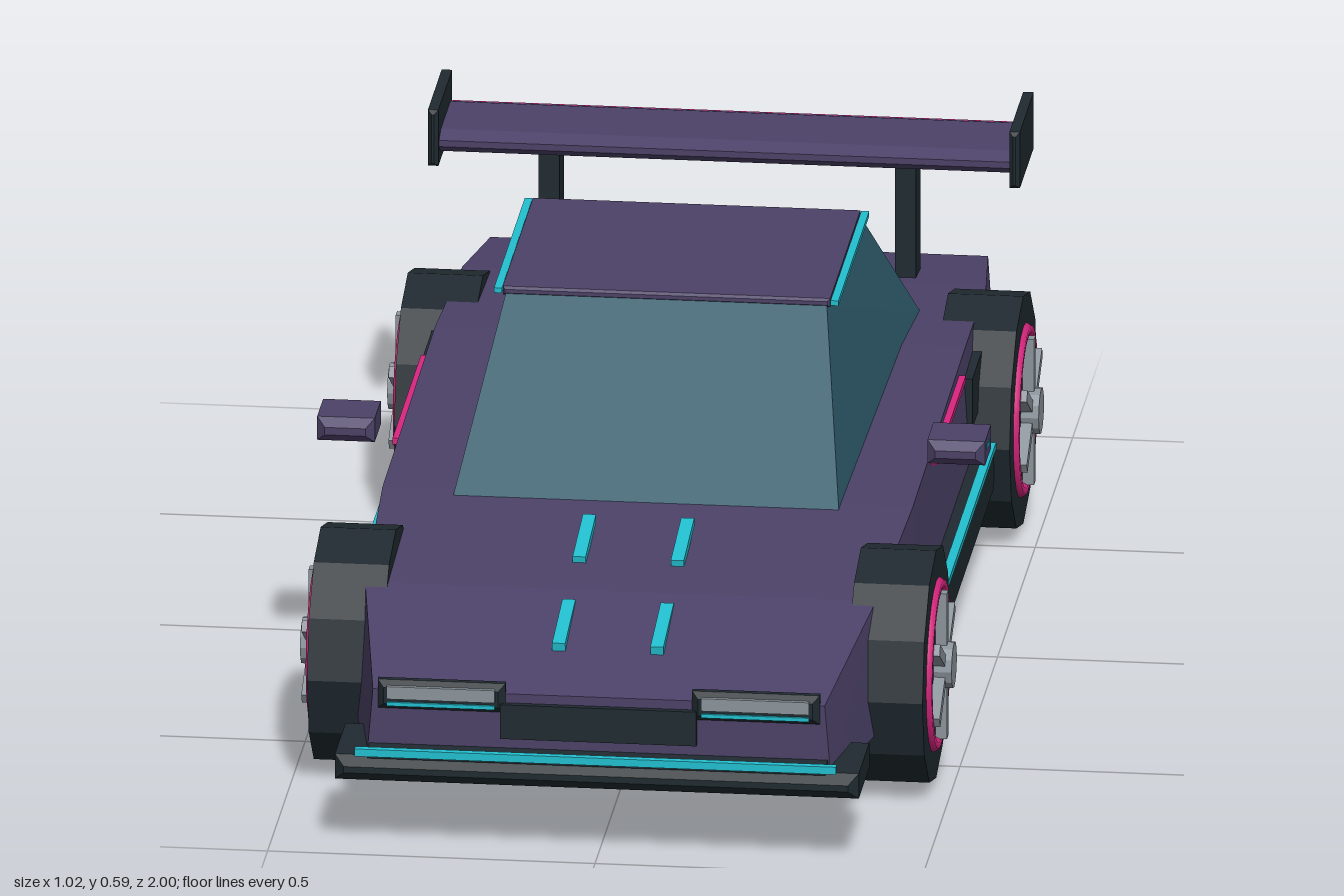
import * as THREE from 'three';

const paint = (name, color) => Object.assign(new THREE.MeshStandardMaterial({ color }), { name });

// Flat-faced loft through rings of corners; the first ring is counter-clockwise seen from outside
function loft(rings) {
  const pos = [];
  const quad = (a, b, c, d) => pos.push(...a, ...b, ...c, ...a, ...c, ...d);
  for (let r = 0; r + 1 < rings.length; r++) {
    const a = rings[r], b = rings[r + 1];
    for (let i = 0; i < 4; i++) {
      const j = (i + 1) % 4;
      quad(a[i], b[i], b[j], a[j]);
    }
  }
  const last = rings[rings.length - 1];
  quad(...rings[0]);
  quad(last[3], last[2], last[1], last[0]);
  const g = new THREE.BufferGeometry();
  g.setAttribute('position', new THREE.Float32BufferAttribute(pos, 3));
  g.computeVertexNormals();
  return g;
}

// Box with cut edges
function cutBox(w, h, d, b) {
  const x = w / 2 - b, y = h / 2 - b;
  const s = new THREE.Shape([[-x, -y], [x, -y], [x, y], [-x, y]].map(p => new THREE.Vector2(...p)));
  return new THREE.ExtrudeGeometry(s, {
    depth: d - 2 * b, bevelEnabled: true, bevelSize: b, bevelThickness: b, bevelSegments: 1,
  }).translate(0, 0, b - d / 2);
}

// Faceted cylinder lying along x
function drum(r, length, sides) {
  const g = new THREE.CylinderGeometry(r, r, length, sides).rotateZ(-Math.PI / 2).toNonIndexed();
  g.computeVertexNormals();
  return g;
}

export function createModel() {
  const purple = paint('body purple', 0x4c4268);
  const dark = paint('dark trim', 0x1f2a30);
  const glass = paint('tinted glass', 0x2f5b6c);
  const cyan = paint('cyan glow', 0x22c0d0);
  const pink = paint('pink glow', 0xd8267f);
  const grey = paint('wheel grey', 0x8b949c);

  const car = new THREE.Group();
  car.name = 'sportsCar';
  const add = (name, geo, mat, x = 0, y = 0, z = 0, parent = car) => {
    const m = new THREE.Mesh(geo, mat);
    m.name = name;
    m.position.set(x, y, z);
    parent.add(m);
    return m;
  };
  const box = (name, mat, w, h, d, x, y, z, parent) =>
    add(name, new THREE.BoxGeometry(w, h, d), mat, x, y, z, parent);

  // Wedge body: z, half width at top, half width at bottom, top, bottom
  add('body', loft([
    [0.95, 0.345, 0.355, 0.25, 0.13],
    [0.66, 0.39, 0.405, 0.318, 0.12],
    [0.3, 0.405, 0.42, 0.343, 0.12],
    [-0.4, 0.405, 0.42, 0.354, 0.12],
    [-0.72, 0.40, 0.41, 0.338, 0.12],
    [-0.92, 0.38, 0.39, 0.316, 0.165],
  ].map(([z, t, b, y1, y0]) => [[-b, y0, z], [b, y0, z], [t, y1, z], [-t, y1, z]])), purple);

  // Glass cabin and roof
  add('cabin', loft([
    [0.574, 0.245, 0.05, 0.25, -0.355],
    [0.338, 0.295, 0.325, 0.316, -0.59],
  ].map(([y, f, zf, r, zr]) => [[-f, y, zf], [f, y, zf], [r, y, zr], [-r, y, zr]])), glass);
  add('roof', cutBox(0.5, 0.014, 0.41, 0.004), purple, 0, 0.577, -0.153);

  // Nose
  add('splitter', cutBox(0.8, 0.04, 0.17, 0.015), dark, 0, 0.132, 0.905);
  box('splitterGlow', cyan, 0.735, 0.012, 0.012, 0, 0.163, 0.992);
  box('splitterGlowMount', dark, 0.7, 0.012, 0.05, 0, 0.157, 0.962);
  box('grille', dark, 0.3, 0.055, 0.02, 0, 0.208, 0.95);

  // Engine cover louvres
  for (const [z, y] of [[-0.605, 0.358], [-0.655, 0.359], [-0.705, 0.36]]) {
    const slat = box('louvre', dark, 0.51, 0.01, 0.022, 0, y, z);
    slat.rotation.x = 0.2;
  }

  // Tail
  box('tailLight', pink, 0.67, 0.014, 0.012, 0, 0.285, -0.924);
  add('diffuser', cutBox(0.72, 0.065, 0.14, 0.012), dark, 0, 0.148, -0.893);
  for (let i = -2; i <= 2; i++) box('diffuserFin', dark, 0.012, 0.08, 0.14, i * 0.125, 0.137, -0.93);

  // Rear wing
  const foil = new THREE.Shape([
    [-0.085, -0.012], [-0.065, -0.018], [0.07, -0.016], [0.085, -0.004],
    [0.085, 0.006], [0.06, 0.016], [-0.065, 0.016], [-0.085, 0.01],
  ].map(p => new THREE.Vector2(...p)));
  const blade = new THREE.ExtrudeGeometry(foil, { depth: 0.88, bevelEnabled: false });
  blade.translate(0, 0, -0.44).rotateY(-Math.PI / 2);
  add('wingBlade', blade, purple, 0, 0.532, -0.81);
  box('wingGlow', pink, 0.87, 0.012, 0.01, 0, 0.535, -0.896);

  for (const s of [-1, 1]) {
    box('wingStrut', dark, 0.032, 0.2, 0.06, s * 0.272, 0.42, -0.79);
    add('wingEndPlate', cutBox(0.016, 0.09, 0.195, 0.006), dark, s * 0.444, 0.545, -0.808);

    // Headlights
    add('headlightBezel', cutBox(0.195, 0.046, 0.03, 0.01), dark, s * 0.24, 0.243, 0.945);
    box('headlightLens', grey, 0.165, 0.02, 0.008, s * 0.24, 0.249, 0.96);
    box('headlightGlow', cyan, 0.165, 0.006, 0.008, s * 0.24, 0.231, 0.96);

    // Bonnet strips, roof rails and side lines
    const front = box('bonnetStrip', cyan, 0.02, 0.014, 0.14, s * 0.075, 0.296, 0.76);
    front.rotation.x = 0.16;
    const rear = box('bonnetStrip', cyan, 0.02, 0.014, 0.14, s * 0.075, 0.338, 0.488);
    rear.rotation.x = 0.14;
    box('roofRail', cyan, 0.012, 0.008, 0.41, s * 0.257, 0.578, -0.153);
    box('shoulderLine', pink, 0.012, 0.01, 0.38, s * 0.41, 0.335, -0.12);

    // Sills and intakes
    add('sill', cutBox(0.06, 0.066, 0.84, 0.012), dark, s * 0.415, 0.15, -0.025);
    box('sillGlow', cyan, 0.014, 0.01, 0.86, s * 0.442, 0.188, -0.01);
    box('sideIntake', dark, 0.03, 0.08, 0.14, s * 0.405, 0.276, -0.432);

    // Door mirrors
    add('mirror', cutBox(0.088, 0.038, 0.105, 0.013), purple, s * 0.466, 0.417, 0.213);
    box('mirrorGlow', cyan, 0.006, 0.008, 0.03, s * 0.508, 0.418, 0.213);

    // Wheels
    for (const z of [0.555, -0.605]) {
      const wheel = new THREE.Group();
      wheel.name = z > 0 ? 'frontWheel' : 'rearWheel';
      wheel.position.set(s * 0.4125, 0.183, z);
      if (s < 0) wheel.rotation.y = Math.PI;
      car.add(wheel);
      add('tyre', drum(0.183, 0.115, 12), dark, 0, 0, 0, wheel);
      add('rimGlow', new THREE.TorusGeometry(0.124, 0.01, 6, 24).rotateY(Math.PI / 2), pink, 0.057, 0, 0, wheel);
      add('hub', drum(0.036, 0.03, 12), grey, 0.07, 0, 0, wheel);
      for (let i = 0; i < 6; i++) {
        const arm = new THREE.BoxGeometry(0.018, 0.1, 0.018).translate(0, 0.067, 0);
        add('spoke', arm, grey, 0.066, 0, 0, wheel).rotation.x = i * Math.PI / 3;
      }
    }
  }
  return car;
}
